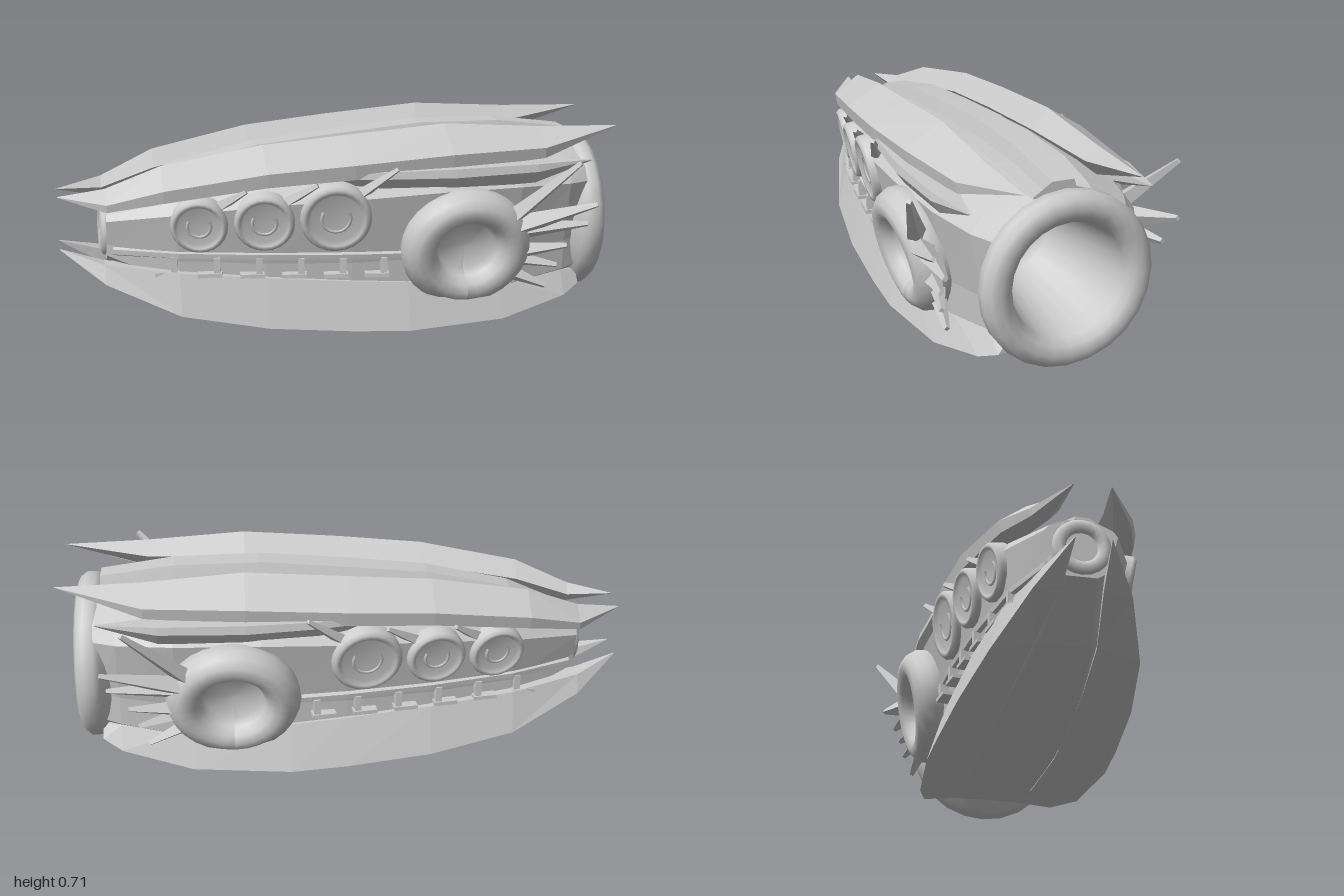
import * as THREE from 'three';

const flat = new THREE.MeshStandardMaterial({ color: 0xcccccc, flatShading: true, side: THREE.DoubleSide });
const smooth = new THREE.MeshStandardMaterial({ color: 0xcccccc, side: THREE.DoubleSide });

// Piecewise-linear lookup in a list of [x, value] pairs
function lookup(table, x) {
  let i = 1;
  while (i < table.length - 1 && table[i][0] < x) i++;
  const [a, b] = [table[i - 1], table[i]];
  return THREE.MathUtils.lerp(a[1], b[1], THREE.MathUtils.clamp((x - a[0]) / (b[0] - a[0]), 0, 1));
}

// Skin closed cross-sections: each is { x, pts: [[z, y], ...] }
function loft(sections, capStart = true, capEnd = true) {
  const n = sections[0].pts.length, pos = [], idx = [];
  for (const { x, pts } of sections) for (const [z, y] of pts) pos.push(x, y, z);
  for (let i = 0; i < sections.length - 1; i++)
    for (let j = 0; j < n; j++) {
      const a = i * n + j, b = i * n + (j + 1) % n;
      idx.push(a, b, a + n, b, b + n, a + n);
    }
  const last = (sections.length - 1) * n;
  for (let j = 1; j < n - 1; j++) {
    if (capStart) idx.push(0, j + 1, j);
    if (capEnd) idx.push(last, last + j, last + j + 1);
  }
  // Turn the skin outward if its signed volume is negative
  const p = k => new THREE.Vector3().fromArray(pos, k * 3);
  let volume = 0;
  for (let i = 0; i < idx.length; i += 3) volume += p(idx[i]).dot(p(idx[i + 1]).cross(p(idx[i + 2])));
  if (volume < 0) idx.reverse();
  const g = new THREE.BufferGeometry();
  g.setAttribute('position', new THREE.Float32BufferAttribute(pos, 3));
  g.setIndex(idx);
  g.computeVertexNormals();
  return g;
}

// Four-sided tapering spike between two points
function spike(from, to, w0, w1) {
  const a = new THREE.Vector3(...from), b = new THREE.Vector3(...to), d = b.clone().sub(a);
  const g = new THREE.CylinderGeometry(w1, w0, d.length(), 4);
  g.applyQuaternion(new THREE.Quaternion().setFromUnitVectors(new THREE.Vector3(0, 1, 0), d.normalize()));
  return g.translate(...a.add(b).multiplyScalar(0.5).toArray());
}

const lathe = (pts, segs) => new THREE.LatheGeometry(pts.map(p => new THREE.Vector2(...p)), segs);

// Hull side width, top and bottom along the length
const WIDTH = [[-0.84, 0.12], [-0.6, 0.22], [-0.3, 0.285], [0, 0.325], [0.3, 0.345], [0.6, 0.335], [0.8, 0.29], [0.88, 0.25]];
const TOP = [[-0.84, 0.45], [-0.6, 0.53], [-0.3, 0.585], [0, 0.61], [0.3, 0.63], [0.6, 0.63], [0.88, 0.6]];
const BOTTOM = [[-0.84, 0.25], [-0.6, 0.125], [-0.3, 0.075], [0, 0.05], [0.3, 0.045], [0.6, 0.05], [0.88, 0.1]];

export function createModel() {
  const model = new THREE.Group();
  const add = (name, geometry, material = flat) => {
    const m = new THREE.Mesh(geometry, material);
    m.name = name;
    model.add(m);
  };
  // Add a part on the +z side and its mirror image on the -z side
  const both = (name, g, material = flat) => {
    add(name + 'Left', g, material);
    const m = g.clone().scale(1, 1, -1);
    m.setIndex(Array.from(m.index.array).reverse());
    add(name + 'Right', m, material);
  };

  // Main hull, open at the rear for the nozzle
  const half = [[0.4, 1], [0.86, 0.88], [1, 0.78], [0.83, 0.35], [0.8, 0.14], [0.42, 0]];
  add('hull', loft(WIDTH.map(([x, w]) => {
    const t = lookup(TOP, x), b = lookup(BOTTOM, x);
    const pts = half.map(([z, f]) => [z * w, b + f * (t - b)]);
    return { x, pts: [...pts, ...pts.slice().reverse().map(([z, y]) => [-z, y])] };
  }), true, false));

  // Stepped spine along the top: x, top height, width scale
  const spine = [[-0.85, 0.46, 0.5], [-0.6, 0.57, 0.78], [-0.3, 0.635, 0.92], [0, 0.665, 1], [0.3, 0.69, 1], [0.6, 0.685, 0.95], [0.86, 0.65, 0.85]];
  const step = [[0.045, 0], [0.06, -0.05], [0.12, -0.05], [0.14, -0.09]];
  add('spine', loft(spine.map(([x, y, s]) => {
    const pts = step.map(([z, d]) => [z * s, y + d * s]);
    return { x, pts: [...pts, ...pts.slice().reverse().map(([z, d]) => [-z, d])] };
  })));

  // Upper fins: x, crest height, crest z, outer z, thickness
  const upper = [[-1, 0.49, 0.06, 0.062, 0.02], [-0.84, 0.52, 0.1, 0.17, 0.5], [-0.65, 0.6, 0.14, 0.235, 0.8], [-0.3, 0.665, 0.175, 0.3, 0.9],
    [0, 0.69, 0.19, 0.325, 0.95], [0.35, 0.715, 0.195, 0.33, 1], [0.7, 0.69, 0.2, 0.295, 0.7], [1, 0.68, 0.2, 0.202, 0.01]];
  both('upperFin', loft(upper.map(([x, y, c, o, t]) => ({
    x, pts: [[c, y], [o, y - 0.085 * t], [o - 0.01 * t, y - 0.14 * t], [c + 0.01 * t, y - 0.15 * t], [c - 0.055 * t, y - 0.075 * t]],
  }))));

  // Narrow side fins under the upper fins: x, y, outer z, thickness
  const side = [[-0.1, 0.56, 0.29, 0.2], [0.1, 0.565, 0.33, 0.8], [0.35, 0.565, 0.355, 1], [0.65, 0.57, 0.355, 0.9], [0.86, 0.585, 0.32, 0.05]];
  both('sideFin', loft(side.map(([x, y, z, t]) => ({
    x, pts: [[z, y + 0.02 * t], [z + 0.005 * t, y - 0.01 * t], [z - 0.03 * t, y - 0.06 * t], [z - 0.1 * t, y - 0.03 * t], [z - 0.1 * t, y + 0.02 * t]],
  }))));

  // Flared lower fins: x, edge height, edge z, upper height
  const lower = [[-1, 0.298, 0.06, 0.302], [-0.85, 0.19, 0.16, 0.255], [-0.6, 0.085, 0.25, 0.23], [-0.3, 0.035, 0.3, 0.205],
    [0, 0.01, 0.325, 0.18], [0.2, 0, 0.335, 0.165], [0.55, 0.01, 0.31, 0.15], [0.8, 0.065, 0.26, 0.15], [0.87, 0.095, 0.22, 0.14]];
  both('lowerFin', loft(lower.map(([x, y, z, t]) => {
    const k = x < -0.9 ? 0.96 : 0.42;
    return { x, pts: [[z, y], [z * (k > 0.5 ? 0.98 : 0.85), t], [z * (k + 0.02), t], [z * k, y + (t - y) * 0.25]] };
  })));

  // Rear nozzle with a deep conical bore
  add('rearNozzle', lathe([[0.24, 0.83], [0.28, 0.86], [0.298, 0.88], [0.298, 0.915], [0.28, 0.94], [0.25, 0.95], [0.22, 0.94],
    [0.197, 0.915], [0.13, 0.5], [0, 0.5]], 24).rotateZ(-Math.PI / 2).translate(0, 0.333, 0), smooth);

  // Small front port
  add('frontPort', lathe([[0.07, 0.05], [0.095, 0.04], [0.1, 0.02], [0.095, 0], [0.075, -0.01], [0.055, 0], [0.045, 0.035], [0, 0.035]].reverse(), 20)
    .rotateZ(-Math.PI / 2).translate(-0.85, 0.355, 0), smooth);

  // Large round side pods with a recessed hub and flattened foot
  const pod = lathe([[0.2, -0.1], [0.23, -0.04], [0.236, 0], [0.222, 0.035], [0.195, 0.058], [0.165, 0.065], [0.135, 0.052],
    [0.113, 0.02], [0.1, -0.015], [0, -0.02]], 28).rotateX(Math.PI / 2).scale(1, 0.93, 1);
  const pp = pod.attributes.position;
  for (let i = 0; i < pp.count; i++) {
    const floor = -0.185 - 0.09 * pp.getX(i);
    if (pp.getY(i) < floor) pp.setY(i, floor);
  }
  pod.computeVertexNormals();
  both('sidePod', pod.rotateX(0.22).translate(0.4, 0.295, 0.33), smooth);

  // Spikes fanning out behind each pod
  const fan = [[[0.56, 0.41, 0.37], [0.76, 0.615, 0.475], 0.035], [[0.57, 0.37, 0.36], [0.845, 0.45, 0.43], 0.045],
    [[0.58, 0.35, 0.34], [0.83, 0.37, 0.385], 0.04], [[0.58, 0.27, 0.33], [0.76, 0.29, 0.37], 0.035],
    [[0.58, 0.24, 0.31], [0.73, 0.215, 0.355], 0.03], [[0.56, 0.19, 0.3], [0.7, 0.13, 0.325], 0.03]];
  for (const [a, b, w] of fan) both('podSpike', spike(a, b, w, 0.01));

  // Three side discs, each with an inner ring and a trailing spike
  for (const [x, y, r, tipX, tipY] of [[-0.53, 0.405, 0.1, -0.375, 0.53], [-0.31, 0.415, 0.105, -0.135, 0.55], [-0.065, 0.425, 0.125, 0.14, 0.6]]) {
    const z = lookup(WIDTH, x) * 0.95, yaw = -0.2 + (x + 0.53) * 0.15;
    const place = g => g.rotateX(0.2).rotateY(yaw).translate(x, y, z);
    both('sideDisc', place(lathe([[r, -0.03], [r, 0.015], [r * 0.92, 0.027], [r * 0.8, 0.027], [r * 0.7, 0.014], [0, 0.014]], 24)
      .rotateX(Math.PI / 2)), smooth);
    both('discRing', place(new THREE.TorusGeometry(r * 0.4, 0.006, 5, 16, 4.2).rotateZ(2.6).translate(0, 0, 0.014)), smooth);
    both('discSpike', spike([x + r * 0.6, y + r * 0.55, z], [tipX, tipY, z + 0.065], 0.025, 0.009));
  }

  // Rail under the discs with a row of hooked steps
  const railY = x => 0.305 - 0.025 * (x + 0.84);
  both('sideRail', loft([-0.82, -0.6, -0.3, 0, 0.2].map(x => {
    const w = lookup(WIDTH, x), y = railY(x);
    return { x, pts: [[w * 0.8, y + 0.01], [w * 0.91, y], [w * 0.9, y - 0.018], [w * 0.78, y - 0.025]] };
  })));
  for (let i = 0; i < 6; i++) {
    const x = -0.64 + i * 0.145, y = railY(x) - 0.055, z = lookup(WIDTH, x) * 0.87;
    both('hookPost', new THREE.BoxGeometry(0.022, 0.06, 0.04).rotateY(-0.15).translate(x + 0.025, y + 0.012, z));
    both('hookStep', new THREE.BoxGeometry(0.085, 0.014, 0.045).rotateY(-0.15).translate(x, y - 0.02, z));
  }
  return model;
}
